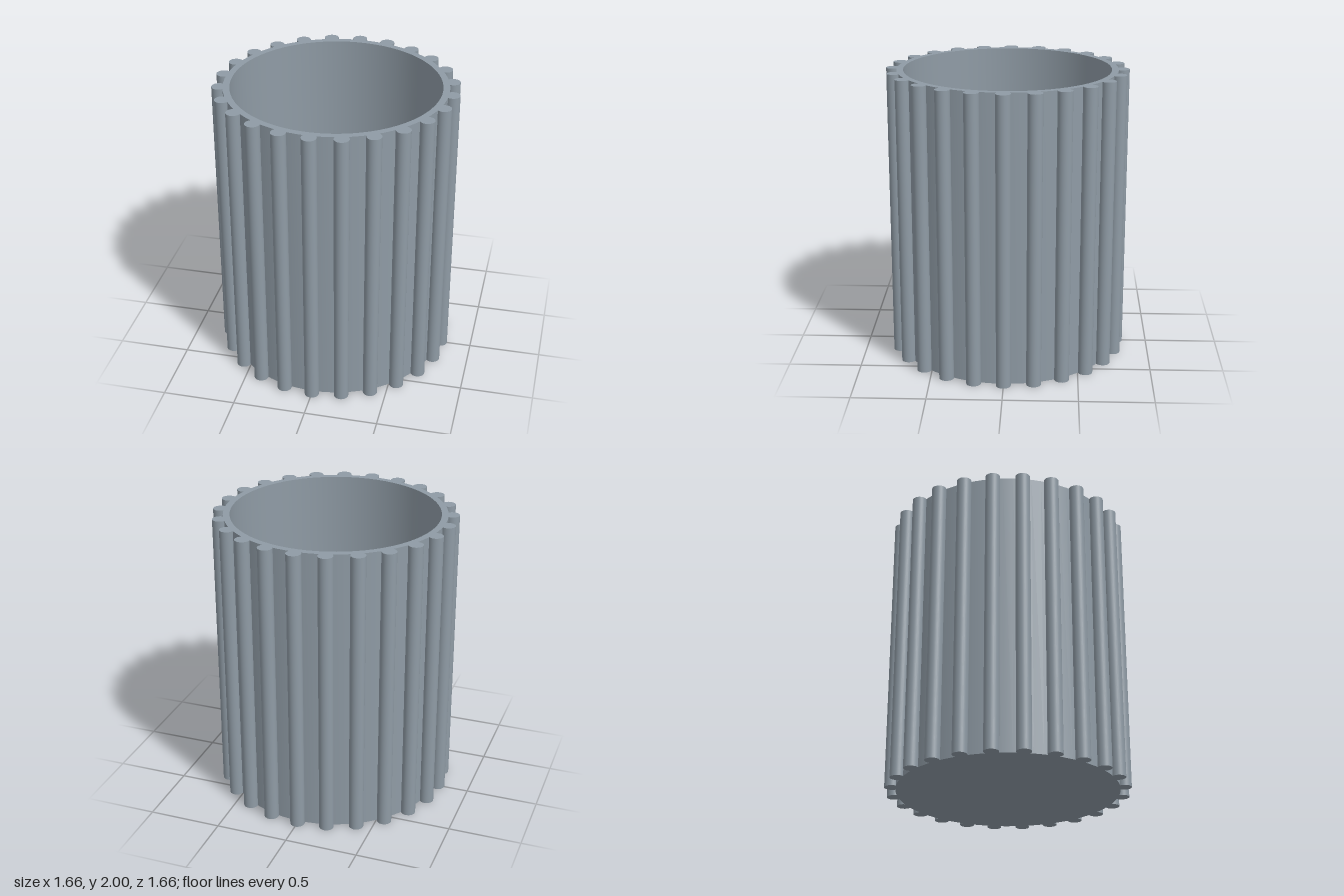
import * as THREE from 'three';
import { toCreasedNormals } from 'three/addons/utils/BufferGeometryUtils.js';

const HEIGHT = 2, OUTER = 0.755, INNER = 0.71, FLOOR = 0.05;
const RIBS = 24, RIB_RADIUS = 0.05, RIB_RING = 0.78;

export function createModel() {
  const group = new THREE.Group();
  group.name = 'ribbedCup';
  const grey = new THREE.MeshStandardMaterial({ color: 0x8f9ba5 });
  grey.name = 'slate grey';

  // Hollow cup: closed floor, thin wall and open top
  const profile = [
    [0, 0], [OUTER, 0], [OUTER, HEIGHT], [INNER, HEIGHT], [INNER, FLOOR], [0, FLOOR],
  ].map(([x, y]) => new THREE.Vector2(x, y));
  const cup = new THREE.Mesh(
    toCreasedNormals(new THREE.LatheGeometry(profile, 72), Math.PI / 6), grey);
  cup.name = 'cup';
  group.add(cup);

  // Round vertical ribs evenly spaced around the wall
  const ribGeometry = new THREE.CylinderGeometry(RIB_RADIUS, RIB_RADIUS, HEIGHT, 32);
  const ribs = new THREE.Group();
  ribs.name = 'ribs';
  for (let i = 0; i < RIBS; i++) {
    const angle = (i / RIBS) * Math.PI * 2;
    const rib = new THREE.Mesh(ribGeometry, grey);
    rib.name = `rib${i + 1}`;
    rib.position.set(RIB_RING * Math.sin(angle), HEIGHT / 2, RIB_RING * Math.cos(angle));
    rib.rotation.y = angle;
    ribs.add(rib);
  }
  group.add(ribs);
  return group;
}
